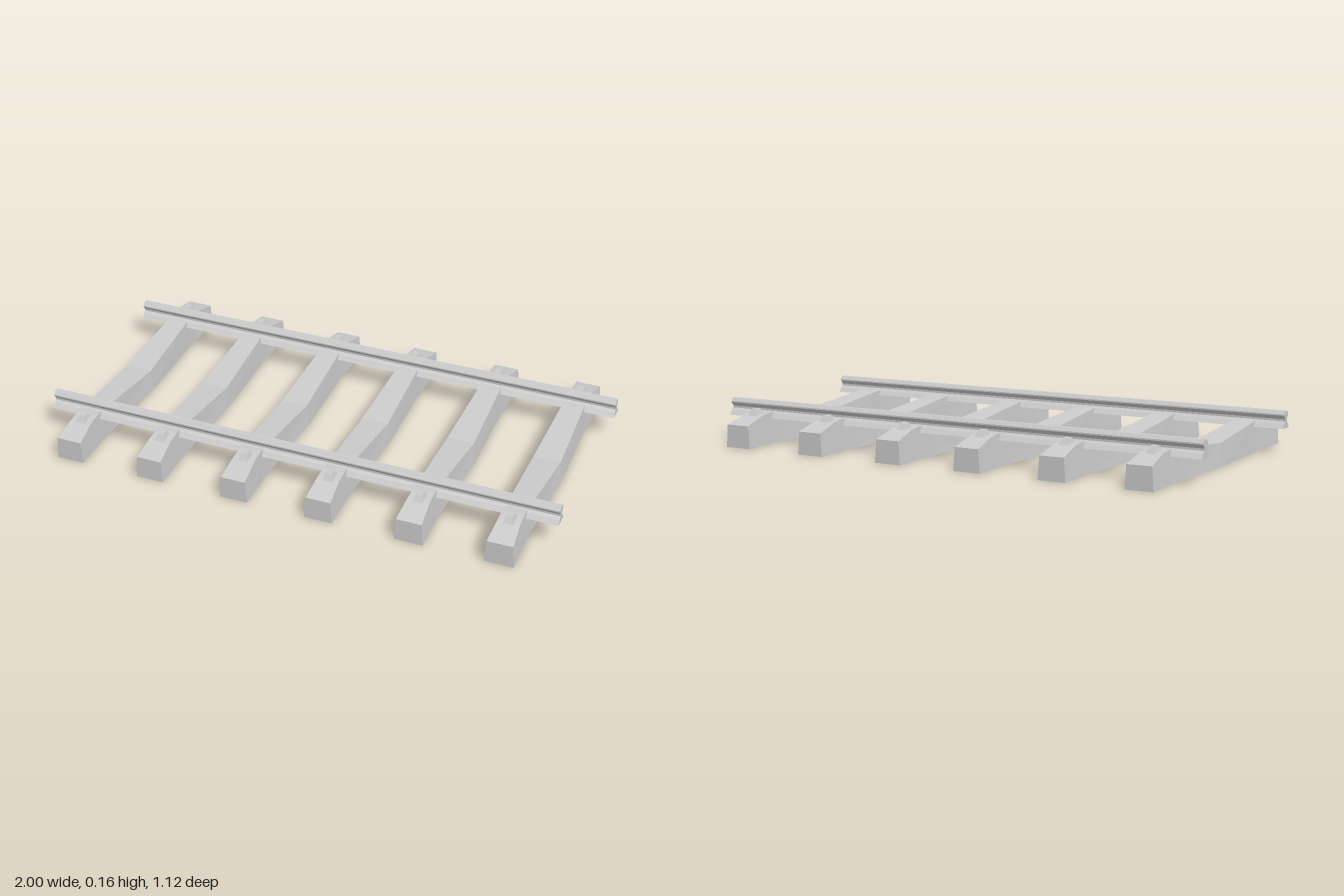
import * as THREE from 'three';

const material = new THREE.MeshStandardMaterial({ color: 0xcccccc, flatShading: true });

function addMesh(parent, name, geometry, x = 0, y = 0, z = 0) {
  const mesh = new THREE.Mesh(geometry, material);
  mesh.name = name;
  mesh.position.set(x, y, z);
  parent.add(mesh);
  return mesh;
}

// Move every vertex of a geometry by a rule
function reshape(geometry, rule) {
  const pos = geometry.attributes.position;
  const v = new THREE.Vector3();
  for (let i = 0; i < pos.count; i++) {
    rule(v.fromBufferAttribute(pos, i));
    pos.setXYZ(i, v.x, v.y, v.z);
  }
  geometry.computeVertexNormals();
  return geometry;
}

// Concrete sleeper: dipped in the middle, raised under the rails, sloping ends
function sleeperGeometry() {
  // z, top height, bottom width, top width, from the middle outwards
  const half = [
    [0, 0.084, 0.12, 0.104],
    [0.335, 0.115, 0.096, 0.082],
    [0.41, 0.12, 0.097, 0.08],
    [0.46, 0.115, 0.1, 0.083],
    [0.56, 0.087, 0.108, 0.096],
  ];
  return reshape(new THREE.BoxGeometry(1, 1, 1, 1, 1, 8), (v) => {
    const step = Math.round(v.z * 8);
    const [z, top, bottomWidth, topWidth] = half[Math.abs(step)];
    v.x *= v.y > 0 ? topWidth : bottomWidth;
    v.y = v.y > 0 ? top : 0;
    v.z = Math.sign(step) * z;
  });
}

// Rail: head, waist and foot profile swept along x
function railGeometry() {
  const side = [[0.031, 0.096], [0.018, 0.113], [0.008, 0.122], [0.008, 0.13], [0.019, 0.144], [0.019, 0.149], [0.01, 0.161]];
  const mirrored = side.map(([x, y]) => [-x, y]).reverse();
  const shape = new THREE.Shape([...side, ...mirrored].map(([x, y]) => new THREE.Vector2(x, y)));
  const geometry = new THREE.ExtrudeGeometry(shape, { depth: 2, bevelEnabled: false });
  return geometry.translate(0, 0, -1).rotateY(Math.PI / 2);
}

// Fastener: small block tapering to the top
function fastenerGeometry() {
  return reshape(new THREE.BoxGeometry(0.037, 0.024, 0.056), (v) => {
    if (v.y > 0) {
      v.x *= 0.58;
      v.z *= 0.5;
    }
  });
}

export function createModel() {
  const track = new THREE.Group();
  track.name = 'railwayTrack';

  // Sleepers, each with a fastener outside either rail
  const sleeper = sleeperGeometry();
  const fastener = fastenerGeometry();
  for (const x of [-0.842, -0.51, -0.17, 0.163, 0.507, 0.841]) {
    addMesh(track, 'sleeper', sleeper, x);
    for (const z of [-0.446, 0.444]) addMesh(track, 'fastener', fastener, x, 0.125, z);
  }

  // Two parallel rails
  const rail = railGeometry();
  addMesh(track, 'frontRail', rail, 0, 0, 0.365);
  addMesh(track, 'backRail', rail, 0, 0, -0.375);

  return track;
}
